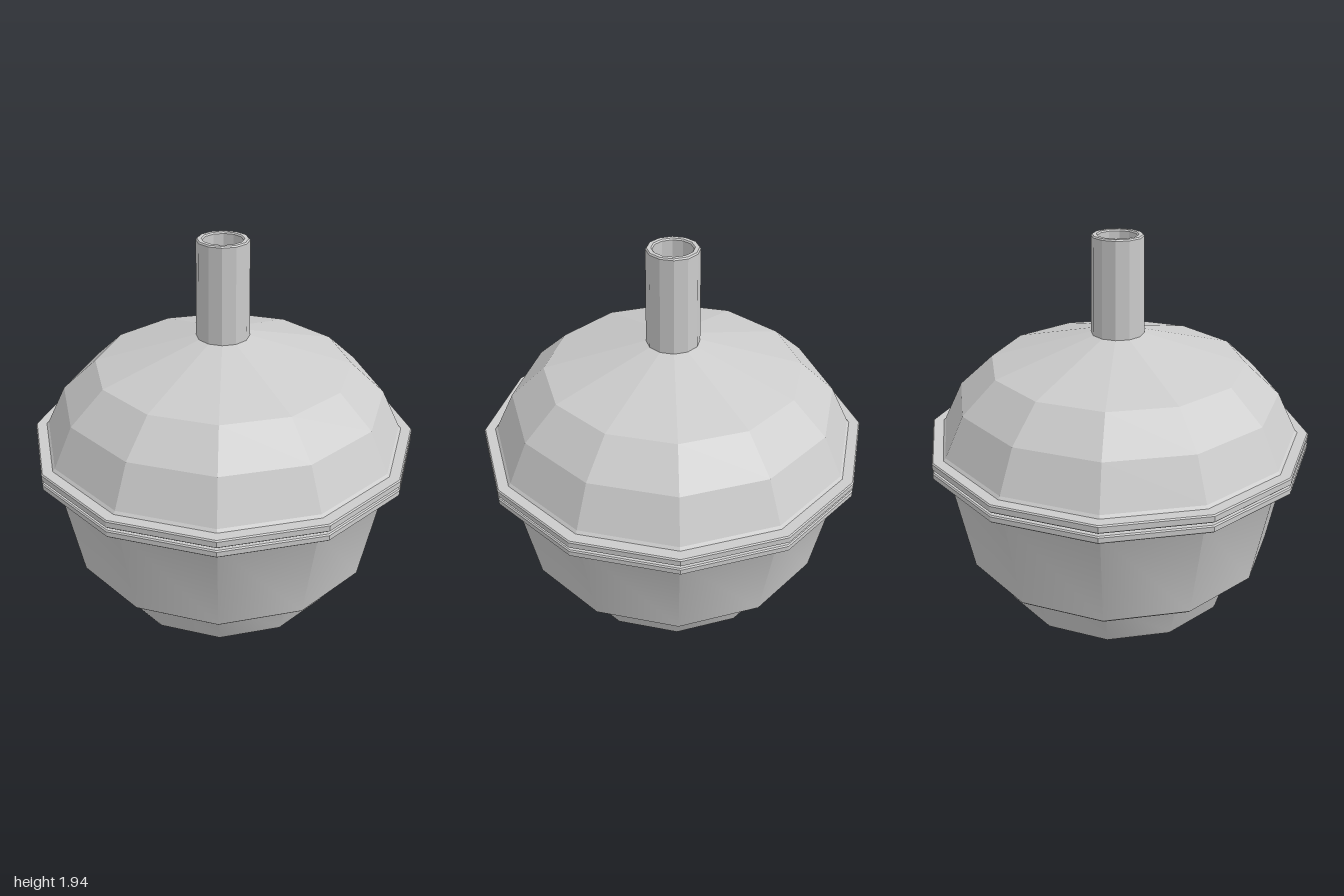
import * as THREE from 'three';
import { toCreasedNormals } from 'three/addons/utils/BufferGeometryUtils.js';

const SIDES = 12;

// Turn a [radius, height] profile; the outside runs upwards, the inside downwards.
function turned(name, profile, flat) {
  const points = profile.map(([r, y]) => new THREE.Vector2(r, y));
  let geometry = new THREE.LatheGeometry(points, SIDES);
  // Smooth around the sides, sharp along the profile's corners
  if (!flat) geometry = toCreasedNormals(geometry, THREE.MathUtils.degToRad(33));
  const material = new THREE.MeshStandardMaterial({ color: 0xcccccc, flatShading: flat });
  const mesh = new THREE.Mesh(geometry, material);
  mesh.name = name;
  return mesh;
}

// Bevelled flat ring, closed all round
function flange(name, inner, outer, bottom, top) {
  const b = 0.006;
  return turned(name, [
    [inner, bottom], [outer - b, bottom], [outer, bottom + b],
    [outer, top - b], [outer - b, top], [inner, top], [inner, bottom],
  ], true);
}

export function createModel() {
  const model = new THREE.Group();
  model.name = 'lidded bowl';

  // Hollow bowl with a stepped foot and a recessed base
  const bowl = new THREE.Group();
  bowl.name = 'bowl';
  bowl.add(turned('bowlBody', [
    [0, 0.07], [0.6, 0.07], [0.6, 0], [0.625, 0], [0.635, 0.02],
    [0.7, 0.245], [0.712, 0.26], [0.81, 0.26], [0.822, 0.272],
    [0.92, 0.805], [0.935, 0.822],
    [0.9, 0.85], [0.89, 0.81], [0.79, 0.29], [0.68, 0.29], [0.61, 0.1], [0, 0.1],
  ], false));
  bowl.add(flange('bowlRim', 0.89, 1, 0.82, 0.858));
  model.add(bowl);

  // Faceted lid shell with its own rim
  const lid = new THREE.Group();
  lid.name = 'lid';
  lid.add(turned('lidDome', [
    [0.9, 0.875], [0.942, 0.912], [0.93, 0.925], [0.83, 1.13], [0.655, 1.29], [0.135, 1.44],
    [0.1, 1.42], [0.64, 1.26], [0.805, 1.11], [0.9, 0.91], [0.9, 0.875],
  ], true));
  lid.add(flange('lidRim', 0.9, 1, 0.871, 0.912));

  // Open pipe on top
  lid.add(turned('pipe', [
    [0.1, 1.42], [0.135, 1.43], [0.13, 1.93], [0.124, 1.937],
    [0.104, 1.937], [0.098, 1.93], [0.1, 1.42],
  ], true));
  model.add(lid);

  return model;
}
